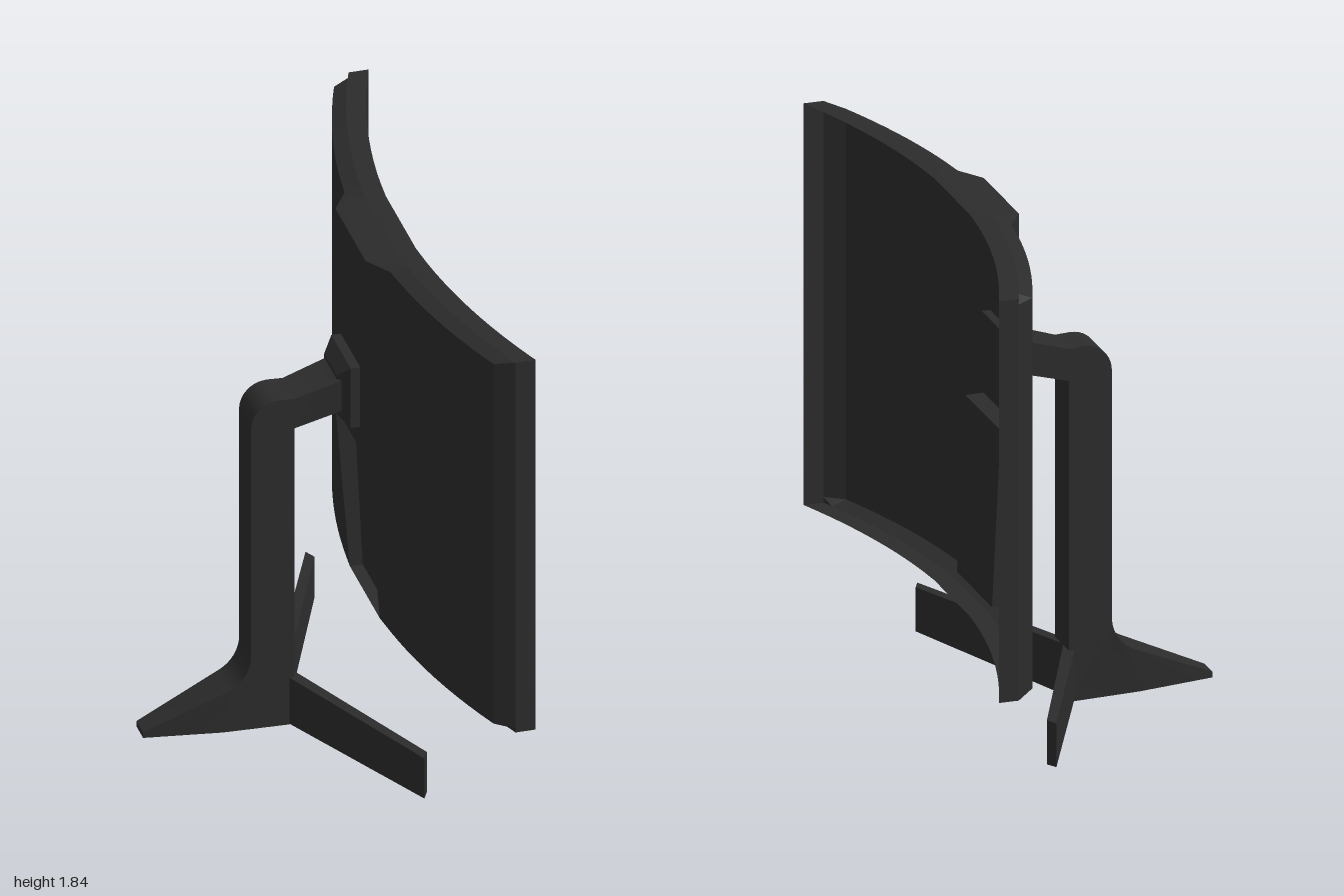
import * as THREE from 'three';
import { toCreasedNormals } from 'three/addons/utils/BufferGeometryUtils.js';

const charcoal = new THREE.MeshStandardMaterial({ color: 0x2c2c2c, side: THREE.DoubleSide });
charcoal.name = 'charcoal';

const PANEL = { half: 0.18, top: 1.05, bottom: 0.42 };
const STAND_Z = 0.012;

function add(parent, name, geometry) {
  const mesh = new THREE.Mesh(geometry, charcoal);
  mesh.name = name;
  parent.add(mesh);
  return mesh;
}

// Geometry from a list of four-cornered faces
function fromQuads(quads, crease = 0.3) {
  const pos = [];
  for (const [a, b, c, d] of quads) pos.push(...a, ...b, ...c, ...a, ...c, ...d);
  const g = new THREE.BufferGeometry();
  g.setAttribute('position', new THREE.Float32BufferAttribute(pos, 3));
  g.computeVertexNormals();
  return toCreasedNormals(g, crease);
}

const frontX = (z) => 0.36 + 0.185 * z * z;

// Curved back with a raised centre spine that tapers inward near the bottom
function backX(z, y) {
  const base = 0.235 + 0.193 * z * z;
  const spine = 0.19 + 0.05 * Math.max(0, (PANEL.top - y) / (PANEL.top - PANEL.bottom));
  const t = THREE.MathUtils.clamp((0.275 - Math.abs(z)) / (0.275 - PANEL.half), 0, 1);
  return THREE.MathUtils.lerp(base, Math.min(spine, base), t);
}

// Open curved shell: back sheet, bevel, then the outer rim
function shellGeometry() {
  const side = [];
  for (let i = 0; i <= 10; i++) side.push(THREE.MathUtils.lerp(0.955, 0.275, i / 10));
  side.push(PANEL.half);
  const inner = [...side.map((z) => -z), ...side.slice().reverse()];
  const cols = [-1, -1, ...inner, 1, 1];
  const rows = [0.4, 0.4, PANEL.bottom, PANEL.top, 1.82, 1.84, 1.84];
  const layer = (i, n) => Math.min(i, n - 1 - i);
  const point = (i, j) => {
    const z = cols[i], y = rows[j];
    const l = Math.min(layer(i, cols.length), layer(j, rows.length));
    return [l === 0 ? frontX(z) : l === 1 ? frontX(z) - 0.07 : backX(z, y), y, z];
  };
  const quads = [];
  for (let i = 0; i < cols.length - 1; i++) {
    for (let j = 0; j < rows.length - 1; j++) {
      const corner = (i === 0 || i === cols.length - 2) && (j === 0 || j === rows.length - 2);
      const opening = j === 2 && cols[i] === -PANEL.half;
      if (corner || opening) continue;
      quads.push([point(i, j), point(i + 1, j), point(i + 1, j + 1), point(i, j + 1)]);
    }
  }
  return fromQuads(quads);
}

// Recessed cable panel with its four walls
function recessGeometry() {
  const { half, top, bottom } = PANEL;
  const corners = [[-half, bottom], [half, bottom], [half, top], [-half, top]];
  const outer = corners.map(([z, y]) => [backX(z, y), y, z]);
  const inner = corners.map(([z, y]) => [y === top ? 0.255 : 0.285, y, z]);
  const quads = [inner];
  for (let i = 0; i < 4; i++) {
    const k = (i + 1) % 4;
    quads.push([outer[i], outer[k], inner[k], inner[i]]);
  }
  return fromQuads(quads, 0.1);
}

// Square mount: block through the shell and a taper toward the arm
function mountGeometry() {
  const ring = (x, h, y) => [[-h, -h], [h, -h], [h, h], [-h, h]].map(([z, v]) => [x, y + v, z]);
  const rings = [ring(0.12, 0.075, 1.252), ring(0.157, 0.116, 1.254), ring(0.22, 0.116, 1.254)];
  const quads = [rings[0].slice().reverse(), rings[2]];
  for (let r = 0; r < 2; r++) {
    for (let i = 0; i < 4; i++) {
      const k = (i + 1) % 4;
      quads.push([rings[r][i], rings[r][k], rings[r + 1][k], rings[r + 1][i]]);
    }
  }
  return fromQuads(quads, 0.1);
}

// Rear foot, post and arm in one profile; width varies along x
function postGeometry() {
  const s = new THREE.Shape();
  s.moveTo(-0.55, 0.012);
  s.lineTo(-0.28, 0.006);
  s.lineTo(-0.05, 0);
  s.lineTo(-0.03, 0.004);
  s.lineTo(-0.03, 1.15);
  s.lineTo(0.13, 1.197);
  s.lineTo(0.13, 1.315);
  s.lineTo(-0.03, 1.265);
  s.lineTo(-0.085, 1.268);
  s.bezierCurveTo(-0.14, 1.268, -0.182, 1.225, -0.182, 1.17);
  s.lineTo(-0.182, 0.285);
  s.bezierCurveTo(-0.182, 0.235, -0.21, 0.185, -0.26, 0.162);
  s.lineTo(-0.55, 0.033);
  s.closePath();
  const g = new THREE.ExtrudeGeometry(s, { depth: 2, bevelEnabled: false, curveSegments: 10 });
  g.translate(0, 0, -1);
  const p = g.attributes.position;
  for (let i = 0; i < p.count; i++) {
    const x = p.getX(i);
    const half = x < -0.27 ? THREE.MathUtils.mapLinear(x, -0.55, -0.27, 0.04, 0.072)
      : x > 0 ? 0.083 : 0.072;
    p.setZ(i, p.getZ(i) * half);
  }
  g.computeVertexNormals();
  return toCreasedNormals(g, 0.5);
}

// Slim front leg splaying outward; its underside rises toward the tip
function legGeometry(sign) {
  const plan = [[-0.08, 0, 0], [-0.035, 0, 0], [0.257, 0.672, 0.024], [0.237, 0.712, 0.026]];
  const low = plan.map(([x, z, y]) => [x, y, z * sign]);
  const high = plan.map(([x, z]) => [x, 0.182, z * sign]);
  const quads = [low, high.slice().reverse()];
  for (let i = 0; i < 4; i++) {
    const k = (i + 1) % 4;
    quads.push([low[k], low[i], high[i], high[k]]);
  }
  if (sign < 0) quads.forEach((q) => q.reverse());
  return fromQuads(quads, 0.1);
}

export function createModel() {
  const model = new THREE.Group();
  model.name = 'curvedMonitor';

  const display = new THREE.Group();
  display.name = 'display';
  add(display, 'curvedShell', shellGeometry());
  add(display, 'cableRecess', recessGeometry());
  add(display, 'mount', mountGeometry());

  const stand = new THREE.Group();
  stand.name = 'stand';
  stand.position.z = STAND_Z;
  add(stand, 'postAndRearFoot', postGeometry());
  add(stand, 'leftLeg', legGeometry(1));
  add(stand, 'rightLeg', legGeometry(-1));

  model.add(display, stand);
  return model;
}
